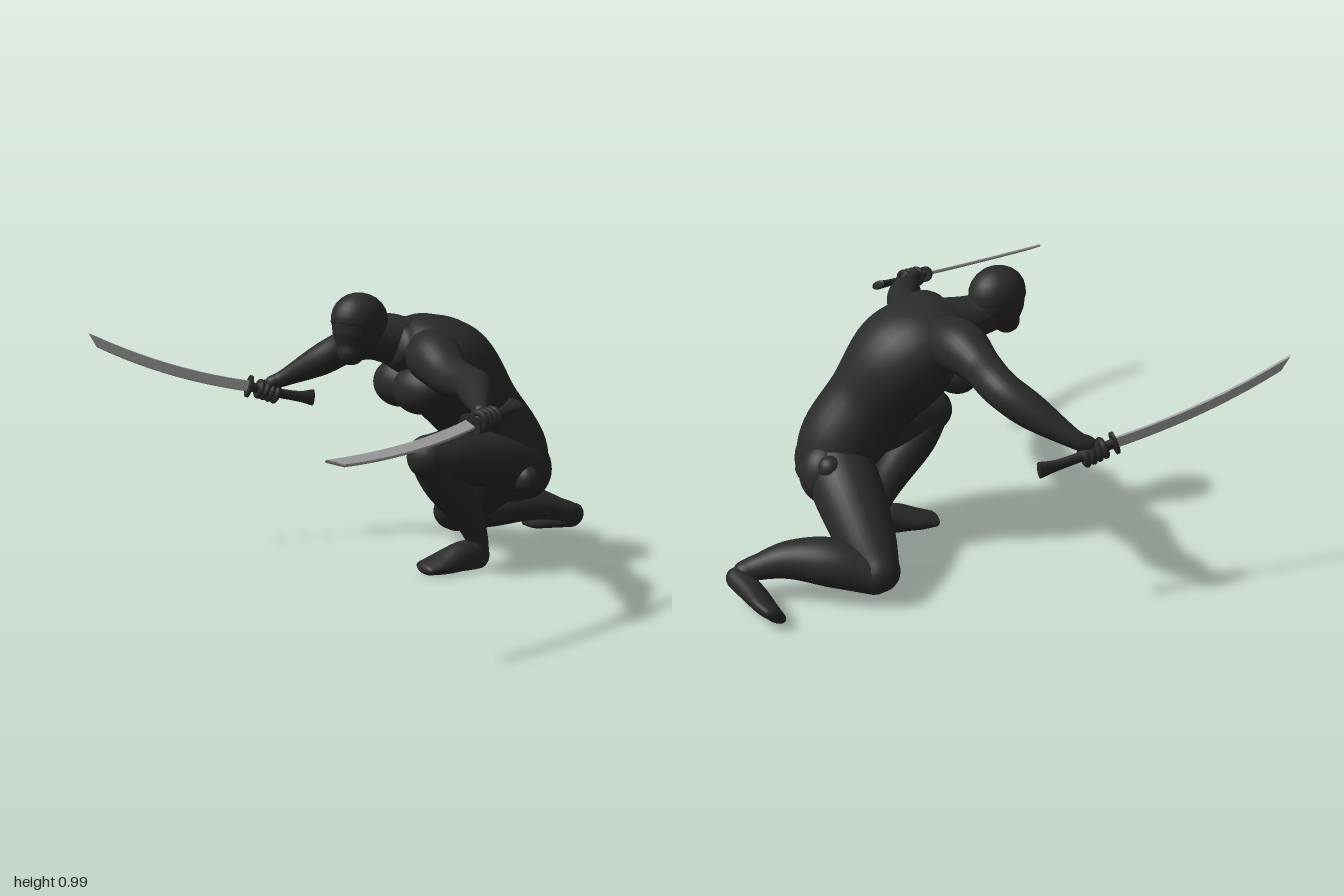
import * as THREE from 'three';

const suit = new THREE.MeshStandardMaterial({ color: 0x2a2a2a });
suit.name = 'charcoal suit';
const steel = new THREE.MeshStandardMaterial({ color: 0xa4a4a4 });
steel.name = 'grey steel';
const V = (x, y, z) => new THREE.Vector3(x, y, z);

// Smooth rounded body through sections [x, y, z, halfWidth, halfDepth]; side = width direction
function loft(name, sections, { side, cap = 1, floor = false } = {}) {
  const path = new THREE.CatmullRomCurve3(sections.map(s => V(s[0], s[1], s[2])), false, 'catmullrom', 0.5);
  const size = new THREE.CatmullRomCurve3(sections.map(s => V(s[3], s[4] ?? s[3], 0)), false, 'catmullrom', 0.5);
  if (!side) {
    // Axis least aligned with the whole part
    const d = path.getPoint(1).sub(path.getPoint(0)).toArray().map(Math.abs);
    const i = d.indexOf(Math.min(...d));
    side = V(+(i === 0), +(i === 1), +(i === 2));
  }
  const steps = (sections.length - 1) * 6, round = 6, n = 28;
  const rings = [];
  for (let k = 0; k < round; k++) rings.push([0, -Math.PI / 2 * (1 - k / round)]);
  for (let k = 0; k <= steps; k++) rings.push([k / steps, 0]);
  for (let k = 1; k <= round; k++) rings.push([1, Math.PI / 2 * k / round]);

  const pos = [], index = [];
  rings.forEach(([t, a], i) => {
    const dir = path.getTangent(t), s = size.getPoint(t);
    const u = side.clone().addScaledVector(dir, -side.dot(dir)).normalize();
    const v = dir.clone().cross(u);
    const c = path.getPoint(t).addScaledVector(dir, Math.sin(a) * Math.min(s.x, s.y) * cap);
    const shrink = Math.max(Math.cos(a), 0.001);
    for (let j = 0; j < n; j++) {
      const q = j / n * Math.PI * 2;
      const p = c.clone().addScaledVector(u, Math.cos(q) * s.x * shrink)
        .addScaledVector(v, Math.sin(q) * s.y * shrink);
      pos.push(p.x, floor ? Math.max(p.y, 0) : p.y, p.z);
      if (i < rings.length - 1) {
        const A = i * n + j, B = i * n + (j + 1) % n;
        index.push(A, B, B + n, A, B + n, A + n);
      }
    }
  });
  const g = new THREE.BufferGeometry();
  g.setAttribute('position', new THREE.Float32BufferAttribute(pos, 3));
  g.setIndex(index);
  g.computeVertexNormals();
  return mesh(name, g, suit);
}

function mesh(name, geometry, material) {
  const m = new THREE.Mesh(geometry, material);
  m.name = name;
  return m;
}

function ellipsoid(name, [x, y, z], [rx, ry, rz]) {
  const m = mesh(name, new THREE.SphereGeometry(1, 28, 18), suit);
  m.position.set(x, y, z);
  m.scale.set(rx, ry, rz);
  return m;
}

// Curved sword with the fist around its grip: local x runs to the tip, y to the blunt back
function swordAndFist(name, base, tip, back) {
  const group = new THREE.Group();
  group.name = name;
  const X = tip.clone().sub(base), L = X.length();
  X.normalize();
  const Y = back.clone().addScaledVector(X, -back.dot(X)).normalize();
  group.quaternion.setFromRotationMatrix(new THREE.Matrix4().makeBasis(X, Y, X.clone().cross(Y)));
  group.position.copy(base);

  const s = new THREE.Shape();
  s.moveTo(0, 0.02);
  s.quadraticCurveTo(L / 2, -0.03, L, 0.014);
  s.lineTo(L - 0.04, -0.022);
  s.quadraticCurveTo(L / 2, -0.064, 0, -0.018);
  const blade = new THREE.ExtrudeGeometry(s, {
    depth: 0.004, bevelEnabled: true, bevelThickness: 0.003, bevelSize: 0.002, bevelSegments: 1, curveSegments: 20,
  });
  blade.translate(0, 0, -0.002);
  group.add(mesh('blade', blade, steel));

  const guard = new THREE.CylinderGeometry(0.042, 0.042, 0.01, 24);
  guard.rotateZ(Math.PI / 2);
  guard.scale(1, 1, 0.7);
  group.add(mesh('guard', guard, suit));
  group.add(loft('grip', [[-0.26, 0.03, 0, 0.031, 0.016], [-0.2, 0.018, 0, 0.02, 0.013],
    [-0.1, 0.006, 0, 0.018, 0.013], [0, 0, 0, 0.018, 0.013]], { side: V(0, 1, 0), cap: 0.3 }));

  // Fist
  group.add(ellipsoid('palm', [-0.08, 0.012, 0], [0.052, 0.034, 0.029]));
  for (let i = 0; i < 4; i++) {
    const finger = new THREE.TorusGeometry(0.027, 0.011, 10, 24);
    finger.rotateY(Math.PI / 2);
    finger.translate(-0.042 - i * 0.022, 0.002, 0);
    group.add(mesh('finger', finger, suit));
  }
  return group;
}

export function createModel() {
  const model = new THREE.Group();
  model.name = 'crouchingSwordsman';

  // Head and neck
  model.add(
    loft('head', [[0, 0.785, 0.1, 0.05, 0.046], [0, 0.82, 0.083, 0.075, 0.082],
      [0, 0.86, 0.066, 0.088, 0.1], [0, 0.895, 0.06, 0.09, 0.104]], { side: V(1, 0, 0) }),
    loft('neck', [[0.06, 0.8, -0.14, 0.1], [0.03, 0.815, -0.04, 0.078], [0, 0.835, 0.04, 0.068]]),
  );

  // Torso, leaning forward and turned a little to its right
  model.add(
    loft('torso', [[0.05, 0.8, -0.07, 0.11, 0.08], [0.075, 0.775, -0.16, 0.185, 0.138],
      [0.11, 0.7, -0.26, 0.198, 0.175], [0.17, 0.55, -0.36, 0.152, 0.153], [0.21, 0.41, -0.46, 0.15, 0.145],
      [0.22, 0.29, -0.52, 0.125, 0.11]], { side: V(0.93, 0, 0.36), cap: 0.5 }),
    ellipsoid('rightChest', [0.005, 0.66, -0.125], [0.105, 0.085, 0.075]),
    ellipsoid('leftChest', [0.14, 0.65, -0.09], [0.11, 0.085, 0.075]),
    ellipsoid('rightButtock', [0.16, 0.34, -0.555], [0.09, 0.11, 0.095]),
    ellipsoid('leftButtock', [0.27, 0.34, -0.5], [0.09, 0.11, 0.095]),
    ellipsoid('leftHipKnob', [0.355, 0.325, -0.41], [0.045, 0.05, 0.045]),
    ellipsoid('rightHipKnob', [0.1, 0.39, -0.58], [0.042, 0.042, 0.042]),
  );

  // Arms
  model.add(
    loft('rightArm', [[-0.02, 0.79, -0.19, 0.085], [-0.14, 0.8, -0.2, 0.088], [-0.26, 0.775, -0.215, 0.066],
      [-0.38, 0.748, -0.235, 0.062], [-0.48, 0.69, -0.19, 0.058], [-0.6, 0.62, -0.12, 0.032],
      [-0.63, 0.6, -0.085, 0.028]]),
    loft('leftArm', [[0.13, 0.77, -0.14, 0.085], [0.23, 0.768, -0.075, 0.092], [0.36, 0.722, -0.02, 0.07],
      [0.5, 0.713, 0.03, 0.057], [0.58, 0.71, 0.1, 0.058], [0.7, 0.685, 0.21, 0.033],
      [0.75, 0.675, 0.255, 0.028]]),
  );

  // Left leg, foot planted in front
  model.add(
    loft('leftThigh', [[0.265, 0.37, -0.46, 0.11], [0.255, 0.4, -0.32, 0.105],
      [0.225, 0.42, -0.18, 0.098], [0.2, 0.425, -0.08, 0.078]]),
    loft('leftShin', [[0.2, 0.42, -0.08, 0.07], [0.2, 0.33, -0.155, 0.078], [0.207, 0.22, -0.25, 0.064],
      [0.21, 0.12, -0.305, 0.042], [0.21, 0.07, -0.31, 0.044]]),
    loft('leftFoot', [[0.21, 0.045, -0.315, 0.043, 0.05], [0.197, 0.048, -0.25, 0.05, 0.055],
      [0.17, 0.03, -0.17, 0.064, 0.036], [0.152, 0.02, -0.115, 0.058, 0.022]], { side: V(1, 0, 0), floor: true }),
  );

  // Right leg, kneeling with the foot folded behind
  model.add(
    loft('rightThigh', [[0.18, 0.36, -0.5, 0.12], [0.06, 0.28, -0.53, 0.118],
      [-0.08, 0.17, -0.56, 0.098], [-0.17, 0.11, -0.58, 0.07]]),
    loft('rightShin', [[-0.16, 0.1, -0.595, 0.068], [-0.06, 0.135, -0.69, 0.083], [0.035, 0.14, -0.79, 0.066],
      [0.1, 0.115, -0.88, 0.044], [0.118, 0.1, -0.92, 0.042]]),
    loft('rightFoot', [[0.118, 0.085, -0.945, 0.05, 0.04], [0.03, 0.07, -0.945, 0.055, 0.038],
      [-0.05, 0.056, -0.95, 0.06, 0.03], [-0.105, 0.05, -0.95, 0.05, 0.022]],
    { side: V(0, 0.66, -0.75), floor: true }),
  );

  // Swords with the hands holding them
  model.add(
    swordAndFist('rightSword', V(-0.665, 0.592, 0), V(-0.88, 0.8, 0.565), V(0, 0.94, -0.36)),
    swordAndFist('leftSword', V(0.81, 0.655, 0.365), V(0.862, 0.618, 0.985), V(-0.88, 0.47, 0)),
  );
  return model;
}
